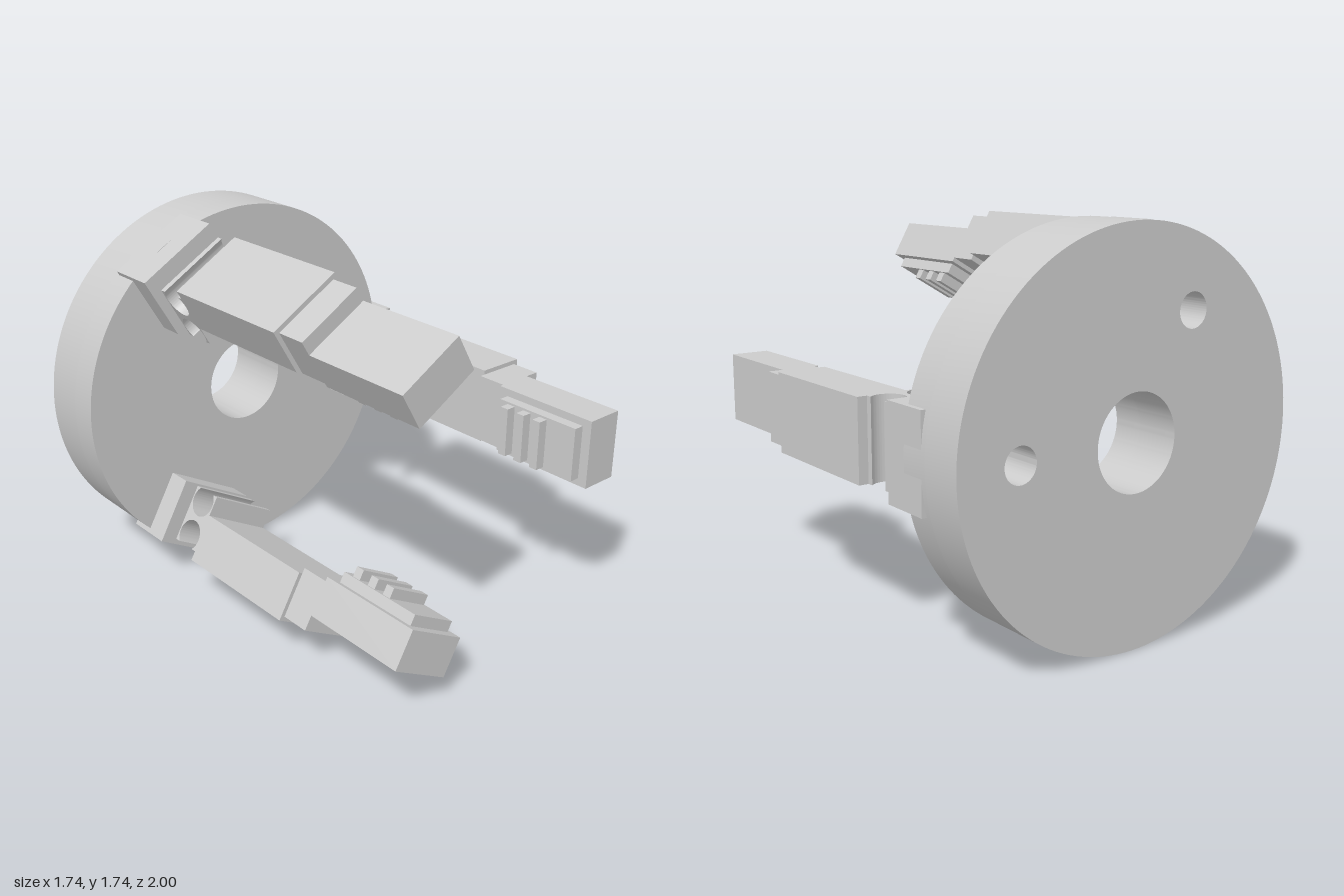
import * as THREE from 'three';
import { toCreasedNormals } from 'three/addons/utils/BufferGeometryUtils.js';

const R = 0.868; // disc radius, also the height of its axis
const material = new THREE.MeshStandardMaterial({ color: 0xcccccc });

function addMesh(parent, name, geometry) {
  const mesh = new THREE.Mesh(geometry, material);
  mesh.name = name;
  parent.add(mesh);
  return mesh;
}

// Box given by its extents: x range, half width in y, z range
function addBox(parent, name, x0, x1, halfY, z0, z1) {
  const mesh = addMesh(parent, name, new THREE.BoxGeometry(x1 - x0, halfY * 2, z1 - z0));
  mesh.position.set((x0 + x1) / 2, 0, (z0 + z1) / 2);
}

// One layer of the disc, holes as [x, y, radius]
function discLayer(holes, z0, z1) {
  const shape = new THREE.Shape().absarc(0, 0, R, 0, Math.PI * 2);
  for (const [x, y, r] of holes) {
    shape.holes.push(new THREE.Path().absarc(x, y, r, 0, Math.PI * 2, true));
  }
  const geometry = new THREE.ExtrudeGeometry(shape, {
    depth: z1 - z0, bevelEnabled: false, curveSegments: 72,
  });
  geometry.translate(0, 0, z0);
  return toCreasedNormals(geometry, 0.6);
}

// Flexure hinge: a block with a round notch on each side, leaving a thin web
function hingeGeometry() {
  const x0 = 0.547, x1 = 0.822, half = 0.078, r = 0.072, inset = 0.052;
  const open = Math.sqrt(r * r - inset * inset);
  const a = Math.atan2(open, inset);
  const shape = new THREE.Shape();
  shape.moveTo(x0, -half);
  shape.lineTo(x1, -half);
  shape.lineTo(x1, -open);
  shape.absarc(x1 - inset, 0, r, -a, a, true);
  shape.lineTo(x1, half);
  shape.lineTo(x0, half);
  shape.lineTo(x0, open);
  shape.absarc(x0 + inset, 0, r, Math.PI - a, a - Math.PI, true);
  const geometry = new THREE.ExtrudeGeometry(shape, {
    depth: 0.36, bevelEnabled: false, curveSegments: 32,
  });
  geometry.translate(0, 0, -0.18);
  geometry.rotateX(-Math.PI / 2);
  geometry.translate(0, 0, -0.405);
  return toCreasedNormals(geometry, 0.5);
}

function createFinger() {
  const finger = new THREE.Group();
  addBox(finger, 'mountingBlock', 0.55, 0.866, 0.205, -0.775, -0.545);
  addMesh(finger, 'hinge', hingeGeometry());
  addBox(finger, 'lowerSegment', 0.64, 0.866, 0.18, -0.327, 0.34);
  addBox(finger, 'collar', 0.615, 0.845, 0.16, 0.34, 0.48);
  addBox(finger, 'fingertip', 0.595, 0.775, 0.16, 0.48, 1);
  addBox(finger, 'gripPad', 0.546, 0.595, 0.125, 0.527, 0.955);
  for (const z of [0.593, 0.685, 0.777]) {
    addBox(finger, 'gripRib', 0.5, 0.546, 0.115, z - 0.021, z + 0.021);
  }
  return finger;
}

export function createModel() {
  const model = new THREE.Group();
  model.name = 'threeFingerGripper';

  const body = new THREE.Group();
  body.position.y = R;
  model.add(body);

  // Palm disc: central bore right through, two blind holes in the back
  const palm = new THREE.Group();
  palm.name = 'palmDisc';
  body.add(palm);
  const bore = [0, 0, 0.206];
  const blindHoles = [0, 1].map((i) => {
    const angle = i * Math.PI * 2 / 3;
    return [Math.cos(angle) * 0.58, Math.sin(angle) * 0.58, 0.075];
  });
  addMesh(palm, 'palmBack', discLayer([bore, ...blindHoles], -1, -0.8));
  addMesh(palm, 'palmFront', discLayer([bore], -0.8, -0.66));

  // Three fingers spaced evenly around the axis
  for (let i = 0; i < 3; i++) {
    const finger = createFinger();
    finger.name = 'finger' + (i + 1);
    finger.rotation.z = i * Math.PI * 2 / 3;
    body.add(finger);
  }
  return model;
}
